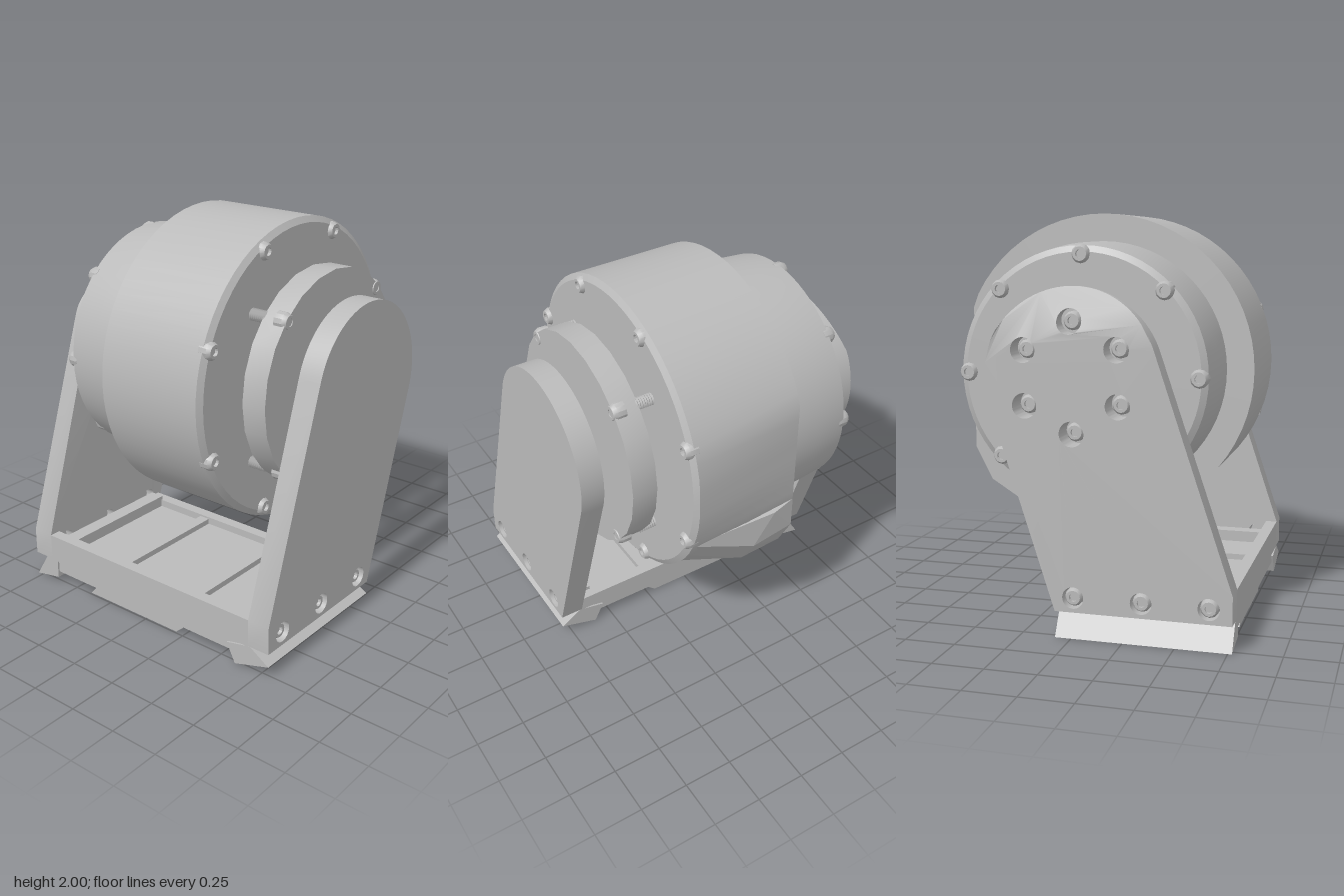
import * as THREE from 'three';
import { toCreasedNormals } from 'three/addons/utils/BufferGeometryUtils.js';
import { ConvexGeometry } from 'three/addons/geometries/ConvexGeometry.js';

const metal = new THREE.MeshStandardMaterial({ color: 0xbababa });
metal.name = 'grey metal';
const AXIS_Y = 1.235; // height of the drum axis

export function createModel() {
  const model = new THREE.Group();
  model.name = 'bracketMountedDrum';

  const add = (name, geometry, x = 0, y = 0, z = 0) => {
    const mesh = new THREE.Mesh(geometry, metal);
    mesh.name = name;
    mesh.position.set(x, y, z);
    model.add(mesh);
    return mesh;
  };
  const box = (name, x0, x1, y0, y1, z0, z1) =>
    add(name, new THREE.BoxGeometry(x1 - x0, y1 - y0, z1 - z0), (x0 + x1) / 2, (y0 + y1) / 2, (z0 + z1) / 2);
  const vectors = (pairs) => pairs.map(([a, b]) => new THREE.Vector2(a, b));

  // Moves every vertex by a rule, then smooths with sharp edges kept
  const reshaped = (geometry, rule) => {
    const p = geometry.attributes.position;
    const v = new THREE.Vector3();
    for (let i = 0; i < p.count; i++) {
      rule(v.fromBufferAttribute(p, i));
      p.setXYZ(i, v.x, v.y, v.z);
    }
    return toCreasedNormals(geometry, 0.5);
  };

  // Turned part about z; profile is [radius, z] with z rising
  const lathe = (profile, sides = 64) =>
    new THREE.LatheGeometry(vectors(profile), sides).rotateX(Math.PI / 2);
  const turned = (profile, sides) => toCreasedNormals(lathe(profile, sides), 0.5);
  const extrude = (shape, depth) =>
    new THREE.ExtrudeGeometry(shape, { depth, bevelEnabled: false, curveSegments: 24 });
  const extruded = (shape, depth) => toCreasedNormals(extrude(shape, depth), 0.5);
  const circleHole = (x, y, r) => new THREE.Path().absarc(x, y, r, 0, Math.PI * 2, true);

  // Main drum, flattened towards the back on its left, and the narrower rear drum with its seam
  const drum = lathe([[0, -0.22], [0.765, -0.22], [0.765, 0.37], [0.735, 0.39], [0, 0.39]]);
  add('mainDrum', reshaped(drum, (v) => { v.x = Math.min(v.x, 0.722 + 0.1 * v.z); }), 0, AXIS_Y);
  add('rearDrum', turned([[0, -0.6], [0.58, -0.6], [0.61, -0.58], [0.625, -0.42], [0.63, -0.2], [0, -0.2]]), 0, AXIS_Y);

  // Faceted outlet on the lower left of the drum
  const outletPoints = [
    [0, 0, -0.221], [0.7, -0.27, -0.221], [0.7, -0.44, -0.221], [0.61, -0.61, -0.221], [0.4, -0.74, -0.221], [0.13, -0.76, -0.221],
    [0.72, -0.29, -0.1], [0.72, -0.455, 0.02], [0.62, -0.615, 0.02], [0.3, -0.835, 0.02], [0.13, -0.755, 0.02],
    [0.69, -0.31, 0.37], [0.62, -0.42, 0.37], [0.53, -0.53, 0.37], [0.3, -0.69, 0.37], [0, 0, 0.37],
  ].map((c) => new THREE.Vector3(...c));
  add('drumOutlet', new ConvexGeometry(outletPoints), 0, AXIS_Y);

  // Front and rear hubs
  add('frontHubPlate', turned([[0, 0.45], [0.5, 0.45], [0.55, 0.47], [0.55, 0.6], [0, 0.6]], 24), 0, AXIS_Y);
  add('rearHub', turned([[0, -0.66], [0.33, -0.65], [0.38, -0.59], [0, -0.59]], 20), 0, AXIS_Y);

  // Domed bolt heads with a socket, facing front (dir 1) or back (dir -1)
  const headGeometry = turned([[0, -0.04], [0.045, -0.04], [0.045, 0.005], [0.034, 0.025],
    [0.02, 0.025], [0.02, 0.008], [0, 0.008]], 12);
  const bolt = (name, x, y, z, dir = 1) => {
    const mesh = add(name, headGeometry, x, y, z);
    if (dir < 0) mesh.rotation.y = Math.PI;
  };
  for (let i = 0; i < 8; i++) {
    const a = (i + 0.5) * Math.PI / 4, b = i * Math.PI / 4;
    bolt('drumFrontBolt', 0.725 * Math.cos(a), AXIS_Y + 0.71 * Math.sin(a), 0.385);
    bolt('drumRearBolt', 0.57 * Math.cos(b), AXIS_Y + 0.57 * Math.sin(b), -0.597, -1);
  }

  // Threaded spacers carrying the front hub plate
  const thread = [[0.02, 0.38]];
  for (let i = 0; i < 8; i++) thread.push([0.031, 0.39 + i * 0.012], [0.022, 0.396 + i * 0.012]);
  const threadGeometry = turned(thread, 12);
  for (const sx of [-1, 1]) for (const sy of [-1, 1]) {
    add('hubSpacer', threadGeometry, sx * 0.37, AXIS_Y + sy * 0.375);
    bolt('hubBolt', sx * 0.37, AXIS_Y + sy * 0.375, 0.58);
  }

  // Leaning arms with rounded tops
  const armBoltX = [-0.66, -0.34, -0.01];
  const armShape = () => {
    const shape = new THREE.Shape(vectors([[-0.77, 0.129], [0.08, 0.129]]));
    shape.absarc(0, 1.24, 0.42, -0.31, Math.PI - 0.31, false);
    shape.lineTo(-0.77, 0.27);
    shape.closePath();
    for (const x of armBoltX) shape.holes.push(circleHole(x, 0.2, 0.052));
    return shape;
  };
  add('frontArm', extruded(armShape(), 0.12), 0, 0, 0.68);

  // Rear arm, thinned towards its top, with a circle of recessed bolts
  const rearShape = armShape();
  for (let i = 0; i < 6; i++) {
    const a = i * Math.PI / 3 + 0.5;
    const x = 0.26 * Math.cos(a), y = 1.24 + 0.26 * Math.sin(a);
    rearShape.holes.push(circleHole(x, y, 0.06));
    bolt('rearArmBolt', x, y, -0.7, -1);
  }
  const thinTop = (v) => {
    if (v.z > 0.06) v.z -= 0.05 * Math.max(0, (v.y - 1.25) / 0.41);
    else v.z += 0.06 * Math.max(0, (v.y - 1.45) / 0.21);
  };
  add('rearArm', reshaped(extrude(rearShape, 0.12), thinTop), 0, 0, -0.78);

  for (const x of armBoltX) {
    bolt('frontFootBolt', x, 0.2, 0.76);
    bolt('rearFootBolt', x, 0.2, -0.75, -1);
  }

  // Base tray between the arms
  box('baseFloor', -0.76, 0.07, 0.125, 0.16, -0.66, 0.68);
  box('baseRightRim', -0.77, -0.71, 0.125, 0.27, -0.66, 0.68);
  box('baseLeftRim', 0.02, 0.08, 0.125, 0.2, -0.66, 0.68);
  box('baseFrontRim', -0.72, 0.03, 0.125, 0.22, 0.6, 0.68);
  box('baseRearRim', -0.72, 0.03, 0.125, 0.22, -0.66, -0.58);
  for (const z of [-0.25, 0.25]) box('baseRib', -0.72, 0.03, 0.15, 0.19, z - 0.03, z + 0.03);

  // Underside frame with an opening
  const frame = new THREE.Shape(vectors([[-0.76, -0.66], [0.07, -0.66], [0.07, 0.66], [-0.76, 0.66]]));
  frame.holes.push(new THREE.Path(vectors([[-0.55, -0.3], [-0.55, 0.3], [-0.14, 0.3], [-0.14, -0.3]])));
  add('undersideFrame', extruded(frame, 0.07).rotateX(-Math.PI / 2), 0, 0.06, 0);

  // Feet: [z, y] profiles run across x
  const foot = (name, profile, x0, x1) =>
    add(name, extruded(new THREE.Shape(vectors(profile)), x1 - x0).rotateY(-Math.PI / 2), x1);
  foot('frontFoot', [[0.6, 0], [0.8, 0.06], [0.69, 0.13], [0.55, 0.1]], -0.77, 0.08);
  foot('rearFoot', [[-0.78, 0], [-0.62, 0.03], [-0.62, 0.13], [-0.7, 0.13]], -0.77, 0.08);
  for (const x of [-0.74, -0.12])
    foot('middleFoot', [[-0.4, 0], [0.2, 0], [0.28, 0.07], [-0.34, 0.07]], x, x + 0.17);

  return model;
}
